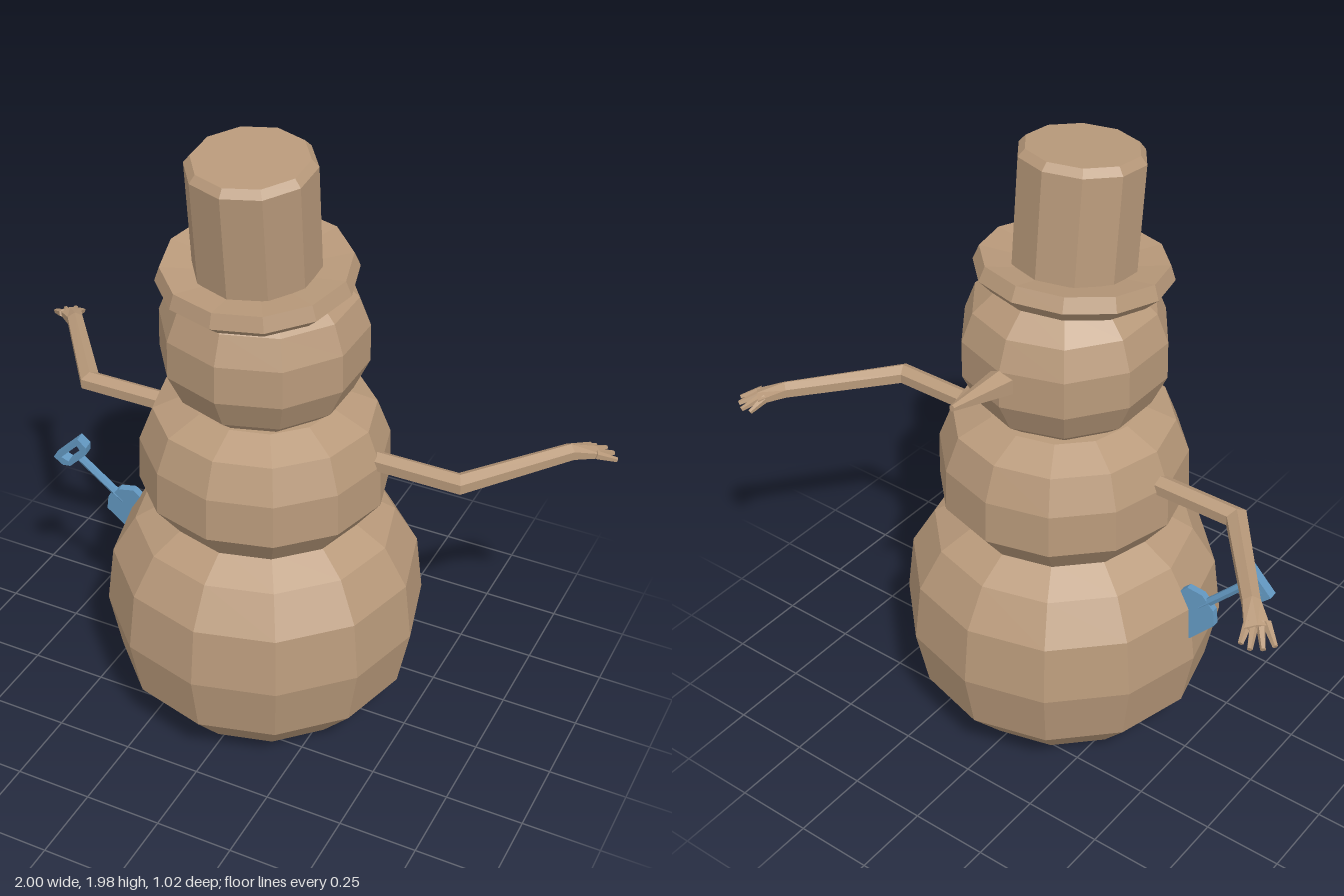
import * as THREE from 'three';

const V = (x, y, z) => new THREE.Vector3(x, y, z);

// Faceted solid of revolution from [radius, y] pairs, bottom to top
function turned(name, profile, sides, material) {
  const points = profile.map(([r, y]) => new THREE.Vector2(r, y));
  const mesh = new THREE.Mesh(new THREE.LatheGeometry(points, sides), material);
  mesh.name = name;
  return mesh;
}

// Straight tapered rod between two points
function rod(name, a, b, ra, rb, sides, material) {
  const dir = b.clone().sub(a);
  const mesh = new THREE.Mesh(new THREE.CylinderGeometry(rb, ra, dir.length(), sides), material);
  mesh.position.copy(a).add(b).multiplyScalar(0.5);
  mesh.quaternion.setFromUnitVectors(V(0, 1, 0), dir.normalize());
  mesh.name = name;
  return mesh;
}

// Mitred six-sided limb; each station is [x, y, z, half width, half height]
function limb(name, stations, material) {
  const n = 6, pos = [], idx = [];
  const dirs = stations.slice(1).map((s, i) =>
    V(s[0] - stations[i][0], 0, s[2] - stations[i][2]).normalize());
  stations.forEach(([x, y, z, w, h], i) => {
    const d0 = dirs[Math.max(i - 1, 0)], d1 = dirs[Math.min(i, dirs.length - 1)];
    const t = d0.clone().add(d1).normalize();
    const side = V(-t.z, 0, t.x), miter = w / t.dot(d0);
    for (let j = 0; j < n; j++) {
      const a = (j + 0.5) / n * Math.PI * 2;
      const c = Math.cos(a) * miter / 0.866;
      pos.push(x + side.x * c, y + Math.sin(a) * h, z + side.z * c);
    }
  });
  const rings = stations.length;
  for (let i = 0; i < rings - 1; i++) {
    for (let j = 0; j < n; j++) {
      const a = i * n + j, b = i * n + (j + 1) % n;
      idx.push(a, a + n, b, b, a + n, b + n);
    }
  }
  const end = (rings - 1) * n;
  for (let j = 1; j < n - 1; j++) idx.push(0, j, j + 1, end, end + j + 1, end + j);
  const geo = new THREE.BufferGeometry();
  geo.setAttribute('position', new THREE.Float32BufferAttribute(pos, 3));
  geo.setIndex(idx);
  geo.computeVertexNormals();
  const mesh = new THREE.Mesh(geo, material);
  mesh.name = name;
  return mesh;
}

function plate(name, outline, hole, depth, material) {
  const toPoints = (list) => list.map(([x, y]) => new THREE.Vector2(x, y));
  const shape = new THREE.Shape(toPoints(outline));
  if (hole) shape.holes.push(new THREE.Path(toPoints(hole)));
  const geo = new THREE.ExtrudeGeometry(shape, { depth, bevelEnabled: false });
  geo.translate(0, 0, -depth / 2);
  const mesh = new THREE.Mesh(geo, material);
  mesh.name = name;
  return mesh;
}

export function createModel() {
  const brown = new THREE.MeshStandardMaterial({ color: 0xb8997a, flatShading: true, side: THREE.DoubleSide });
  brown.name = 'warm brown';
  const blue = new THREE.MeshStandardMaterial({ color: 0x6297c0, flatShading: true, side: THREE.DoubleSide });
  blue.name = 'shovel blue';
  const model = new THREE.Group();
  model.name = 'snowman';

  // Three stacked balls
  const base = turned('bottomBall', [[0, 0.005], [0.34, 0.04], [0.47, 0.19], [0.508, 0.385],
    [0.485, 0.575], [0.41, 0.7], [0.3, 0.765], [0, 0.8]], 12, brown);
  base.position.z = 0.01;
  const middle = turned('middleBall', [[0, 0.72], [0.31, 0.755], [0.39, 0.86], [0.385, 1.0],
    [0.342, 1.11], [0.235, 1.157], [0, 1.17]], 12, brown);
  middle.position.z = 0.013;
  const head = turned('head', [[0, 1.12], [0.215, 1.155], [0.27, 1.2], [0.317, 1.3],
    [0.315, 1.42], [0.28, 1.51], [0.2, 1.58], [0, 1.61]], 10, brown);
  head.position.z = 0.02;
  model.add(base, middle, head);

  // Tilted top hat
  const hat = new THREE.Group();
  hat.name = 'hat';
  hat.position.set(0, 1.588, 0.062);
  hat.rotation.x = 0.108;
  hat.add(
    turned('hatBrim', [[0, -0.04], [0.255, -0.04], [0.297, 0], [0.28, 0.045], [0.18, 0.03]], 12, brown),
    turned('hatCrown', [[0.19, 0.02], [0.19, 0.36], [0.17, 0.383], [0, 0.383]], 10, brown));
  model.add(hat);

  // Carrot nose
  model.add(rod('nose', V(0, 1.375, -0.26), V(0, 1.412, -0.505), 0.05, 0.01, 6, brown));

  // Arms with splayed fingers
  for (const s of [1, -1]) {
    const arm = new THREE.Group();
    arm.name = s > 0 ? 'leftArm' : 'rightArm';
    arm.add(limb('forearm', [[0.34, 1.007, 0, 0.03, 0.032], [0.632, 1.007, 0, 0.03, 0.032],
      [0.87, 1.01, -0.3, 0.025, 0.028], [0.93, 0.995, -0.365, 0.036, 0.015]].map(
      ([x, ...rest]) => [s * x, ...rest]), brown));
    [[0.913, -0.42], [0.945, -0.425], [0.975, -0.405], [0.995, -0.375]].forEach(([x, z], i) => {
      const root = V(s * (0.898 + i * 0.014), 1.0, -0.36 + i * 0.009);
      arm.add(rod('finger', root, V(s * x, 0.973, z), 0.014, 0.008, 5, brown));
    });
    model.add(arm);
  }

  // Shovel stuck into the side of the bottom ball
  const shovel = new THREE.Group();
  shovel.name = 'shovel';
  shovel.position.set(-0.675, 0.755, 0.055);
  shovel.rotation.set(0.14, 0, Math.PI / 4, 'ZYX');
  shovel.add(
    plate('shovelGrip', [[-0.068, 0.028], [-0.066, -0.012], [-0.045, -0.03], [0.045, -0.03], [0.066, -0.012], [0.068, 0.028]],
      [[-0.044, 0.012], [0.044, 0.012], [0.036, -0.014], [-0.036, -0.014]], 0.035, blue),
    rod('shovelShaft', V(0, -0.025, 0), V(0, -0.23, 0), 0.014, 0.014, 6, blue),
    plate('shovelBlade', [[-0.03, -0.19], [-0.072, -0.22], [-0.075, -0.33], [-0.04, -0.39], [0, -0.41],
      [0.04, -0.39], [0.075, -0.33], [0.072, -0.22], [0.03, -0.19]], null, 0.025, blue));
  model.add(shovel);
  return model;
}
